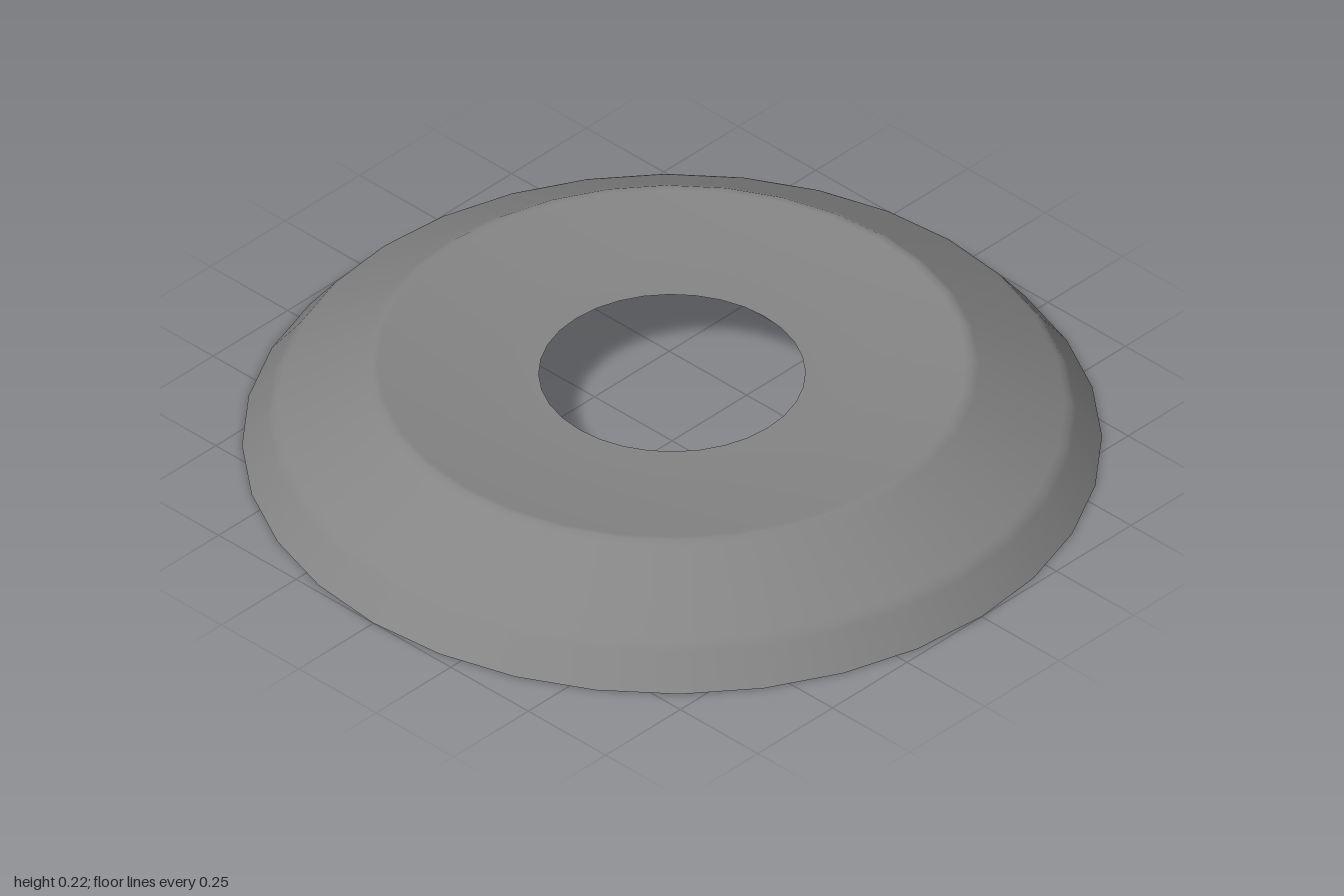
import * as THREE from 'three';

const SEGMENTS = 32;

export function createModel() {
  const group = new THREE.Group();
  group.name = 'dishedRing';
  const material = new THREE.MeshStandardMaterial({ color: 0x858585, side: THREE.DoubleSide });

  // Thin open shell; close pairs of points beside each ridge keep its smooth shading narrow
  const profile = [
    [1, 0], [0.94, 0.077], // lower rim
    [0.93, 0.09],
    [0.915, 0.099], [0.715, 0.216], // sloped wall
    [0.7, 0.225],
    [0.685, 0.223], [0.46, 0.197], [0.31, 0.195], // dished top down to the hole
  ].map(([r, y]) => new THREE.Vector2(r, y));

  const shell = new THREE.Mesh(new THREE.LatheGeometry(profile, SEGMENTS), material);
  shell.name = 'ringShell';
  group.add(shell);
  return group;
}
